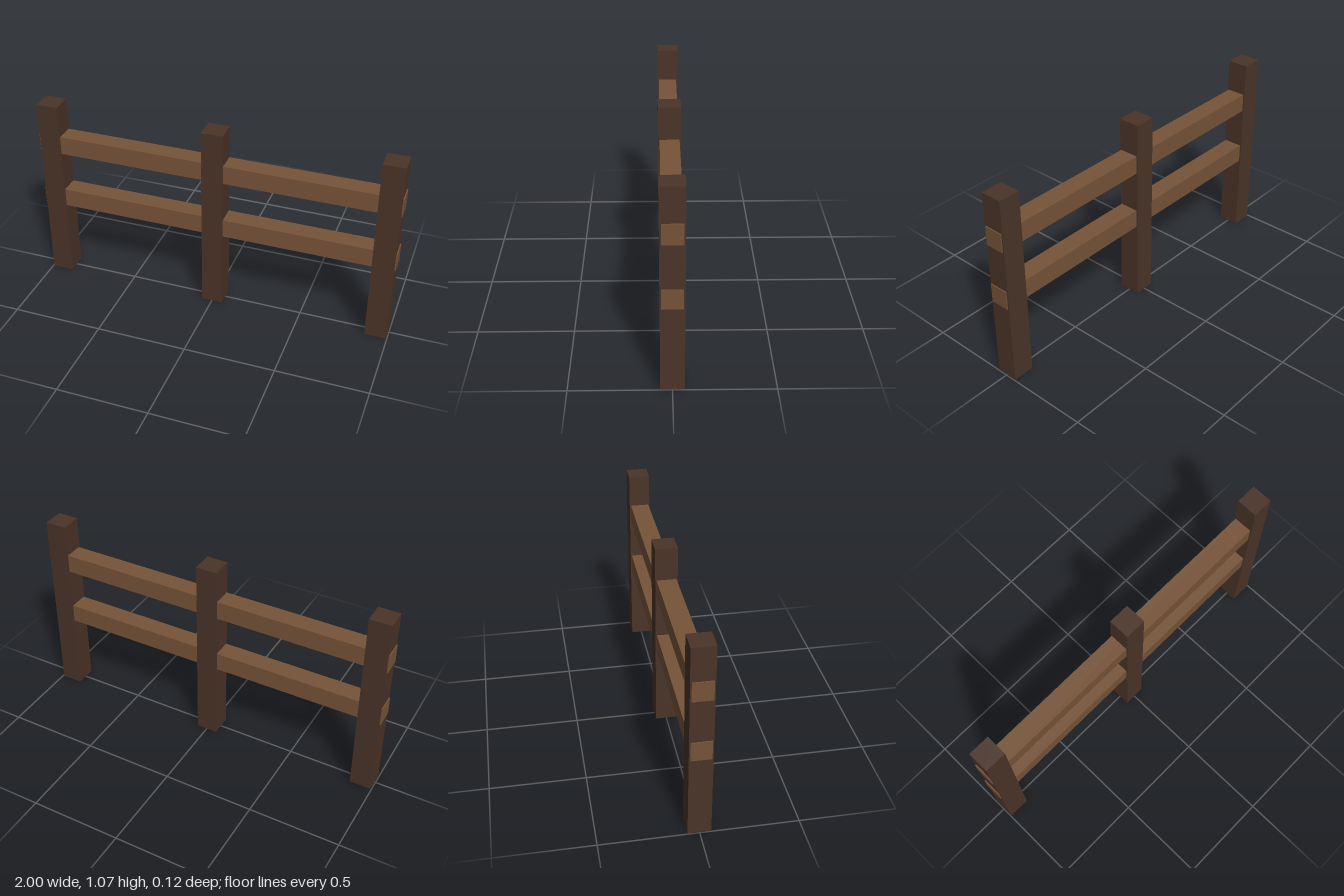
import * as THREE from 'three';

export function createModel() {
  const fence = new THREE.Group();
  fence.name = 'fence';

  const postWood = new THREE.MeshStandardMaterial({ color: 0x4a3428, flatShading: true });
  const railWood = new THREE.MeshStandardMaterial({ color: 0x765338, flatShading: true });

  const addBeam = (name, size, material, x, y) => {
    const beam = new THREE.Mesh(new THREE.BoxGeometry(...size), material);
    beam.name = name;
    beam.position.set(x, y, 0);
    fence.add(beam);
  };

  // Three square posts standing on the ground
  const postHeight = 1.068;
  const posts = { rightPost: -0.935, middlePost: 0, leftPost: 0.935 };
  for (const [name, x] of Object.entries(posts)) {
    addBeam(name, [0.118, postHeight, 0.118], postWood, x, postHeight / 2);
  }

  // Two rails through the posts, ends just proud of the outer faces
  const rails = { lowerRail: 0.502, upperRail: 0.836 };
  for (const [name, y] of Object.entries(rails)) {
    addBeam(name, [2, 0.104, 0.104], railWood, 0, y);
  }

  return fence;
}
